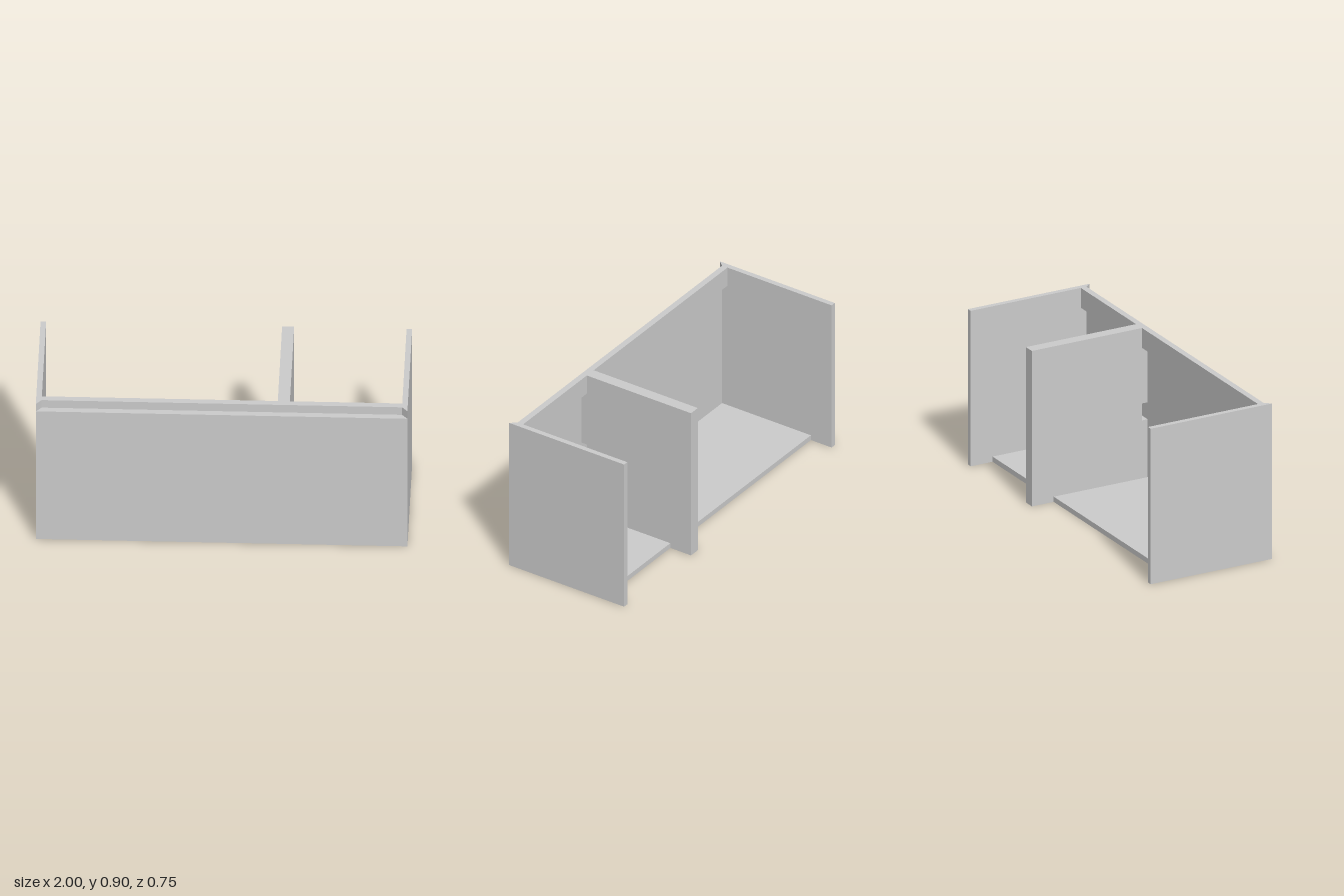
import * as THREE from 'three';

const material = new THREE.MeshStandardMaterial({ color: 0xcccccc, flatShading: true });

const T = 0.03;                      // board thickness
const H = 0.9, FRONT_H = 0.85;       // carcass and front panel heights
const BACK = -0.375, FRONT = 0.375;  // depth limits
const INNER = 0.34, RAIL = 0.305;    // inside of front panel, back of rail
const DIV = [0.3, 0.365];            // divider left and right faces

function extrude(points, depth) {
  const shape = new THREE.Shape(points.map(([a, b]) => new THREE.Vector2(a, b)));
  return new THREE.ExtrudeGeometry(shape, { depth, bevelEnabled: false });
}

// Outline of [x, z] corners raised from y0 to y1
function planBoard(name, points, y0, y1) {
  const geometry = extrude(points.map(([x, z]) => [x, -z]), y1 - y0);
  geometry.rotateX(-Math.PI / 2).translate(0, y0, 0);
  const mesh = new THREE.Mesh(geometry, material);
  mesh.name = name;
  return mesh;
}

const rect = (x0, x1, z0, z1) => [[x0, z0], [x1, z0], [x1, z1], [x0, z1]];

export function createModel() {
  const group = new THREE.Group();
  group.name = 'cabinet';

  // Side panels, mitred at the front corners
  for (const [name, s] of [['leftSide', 1], ['rightSide', -1]]) {
    group.add(planBoard(name, [
      [s, BACK], [s, FRONT], [s * (1 - T), INNER], [s * (1 - T), BACK],
    ], 0, H));
  }

  // Front panel, mitred to meet the sides and lower than them
  group.add(planBoard('frontPanel', [
    [-1, FRONT], [1, FRONT], [1 - T, INNER], [T - 1, INNER],
  ], 0, FRONT_H));

  // Divider, notched at its front edge for the top rail and at mid height
  const profile = [
    [BACK, 0], [INNER, 0], [INNER, 0.365], [RAIL, 0.365], [RAIL, 0.463],
    [INNER, 0.463], [INNER, 0.785], [RAIL, 0.785], [RAIL, H], [BACK, H],
  ];
  const dividerGeometry = extrude(profile.map(([z, y]) => [-z, y]), DIV[1] - DIV[0]);
  dividerGeometry.rotateY(Math.PI / 2).translate(DIV[0], 0, 0);
  const divider = new THREE.Mesh(dividerGeometry, material);
  divider.name = 'divider';
  group.add(divider);

  // Top rail behind the front panel
  group.add(planBoard('topRail', rect(T - 1, 1 - T, RAIL, INNER), 0.785, H));

  // Bottom boards either side of the divider
  group.add(planBoard('bottomRight', rect(T - 1, DIV[0], -0.24, INNER), 0, T));
  group.add(planBoard('bottomLeft', rect(DIV[1], 1 - T, -0.24, INNER), 0, T));

  return group;
}
